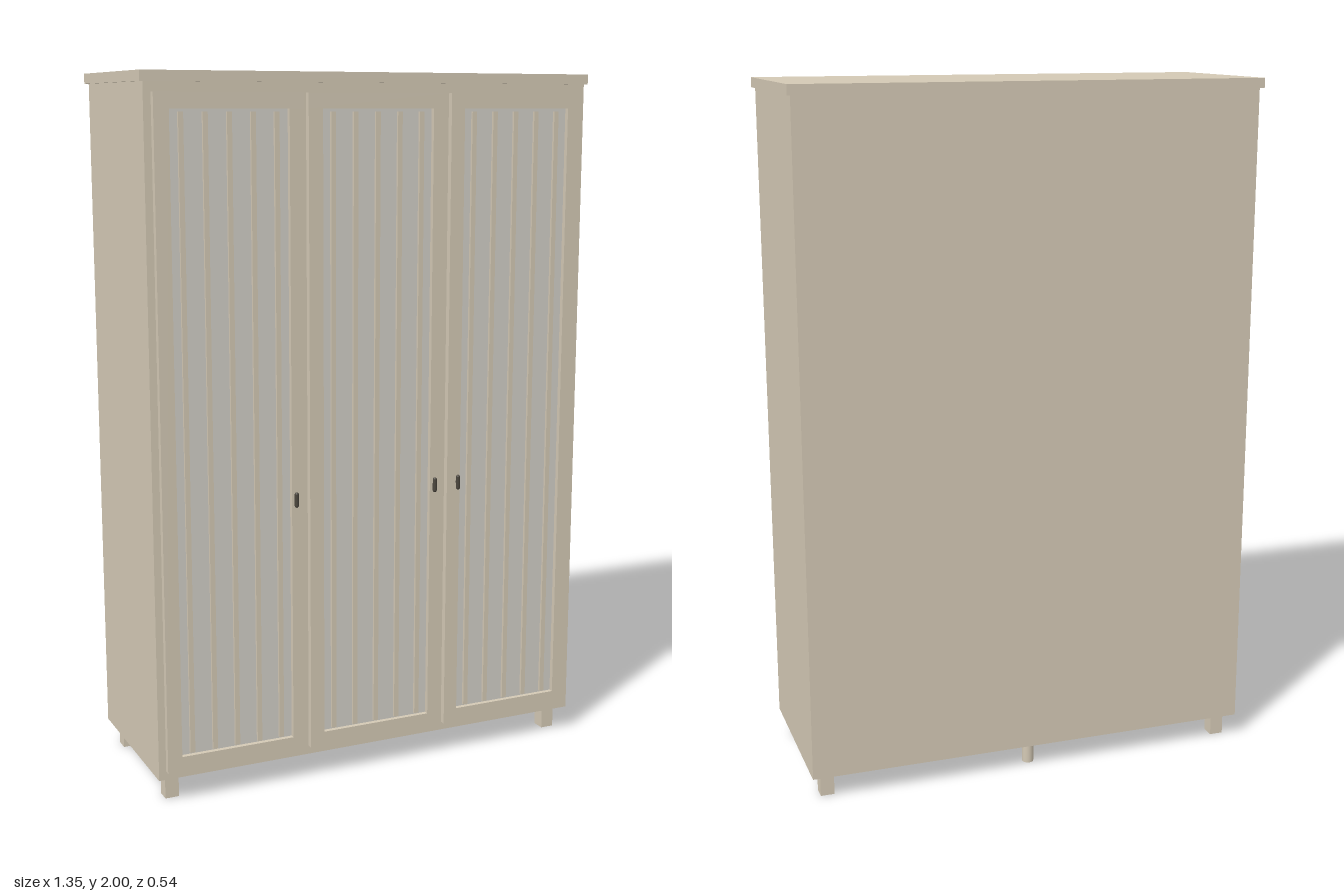
import * as THREE from 'three';

const wood = new THREE.MeshStandardMaterial({ color: 0xd3c8b4 });
const panelPaint = new THREE.MeshStandardMaterial({ color: 0xd0cdc6 });
const darkMetal = new THREE.MeshStandardMaterial({ color: 0x4a453c });

// Box given by its extents along each axis
function box(name, [x0, x1], [y0, y1], [z0, z1], material = wood) {
  const mesh = new THREE.Mesh(new THREE.BoxGeometry(x1 - x0, y1 - y0, z1 - z0), material);
  mesh.position.set((x0 + x1) / 2, (y0 + y1) / 2, (z0 + z1) / 2);
  mesh.name = name;
  return mesh;
}

// Framed door with a recessed panel and five vertical slats
function createDoor(name, x0, x1, handleX) {
  const door = new THREE.Group();
  door.name = name;
  const bottom = 0.095, top = 1.945, frame = 0.042;
  const depth = [0.238, 0.257];
  const inner = [bottom + frame, top - frame];
  door.add(
    box('topRail', [x0, x1], [top - frame, top], depth),
    box('bottomRail', [x0, x1], [bottom, bottom + frame], depth),
    box('leftStile', [x1 - frame, x1], inner, depth),
    box('rightStile', [x0, x0 + frame], inner, depth),
    box('panel', [x0 + frame, x1 - frame], inner, [0.236, 0.243], panelPaint)
  );
  const middle = (x0 + x1) / 2;
  for (let i = -2; i <= 2; i++) {
    const x = middle + i * 0.067;
    door.add(box('slat', [x - 0.007, x + 0.007], [0.142, 1.895], [0.24, 0.251]));
  }

  // Small rounded pull on a short post
  const handle = new THREE.Group();
  handle.name = 'handle';
  const grip = new THREE.Mesh(new THREE.CapsuleGeometry(0.006, 0.032, 4, 12), darkMetal);
  grip.name = 'grip';
  const post = new THREE.Mesh(new THREE.CylinderGeometry(0.003, 0.003, 0.012, 10), darkMetal);
  post.name = 'post';
  post.rotation.x = Math.PI / 2;
  post.position.z = -0.008;
  handle.add(grip, post);
  handle.position.set(handleX, 0.838, 0.267);
  door.add(handle);
  return door;
}

export function createModel() {
  const wardrobe = new THREE.Group();
  wardrobe.name = 'wardrobe';

  // Carcass and overhanging top
  wardrobe.add(
    box('body', [-0.664, 0.664], [0.07, 1.972], [-0.26, 0.239]),
    box('topBoard', [-0.674, 0.674], [1.972, 2], [-0.27, 0.244])
  );

  // Three doors
  wardrobe.add(
    createDoor('rightDoor', -0.643, -0.224, -0.256),
    createDoor('middleDoor', -0.211, 0.208, 0.177),
    createDoor('leftDoor', 0.222, 0.643, 0.253)
  );

  // Square corner legs
  for (const x of [-0.617, 0.617]) {
    for (const z of [-0.21, 0.188]) {
      wardrobe.add(box('leg', [x - 0.02, x + 0.02], [0, 0.07], [z - 0.02, z + 0.02]));
    }
  }

  // Round support under the middle of the back
  const support = new THREE.Mesh(new THREE.CylinderGeometry(0.017, 0.017, 0.07, 20), wood);
  support.name = 'backSupport';
  support.position.set(0, 0.035, -0.21);
  wardrobe.add(support);

  return wardrobe;
}
